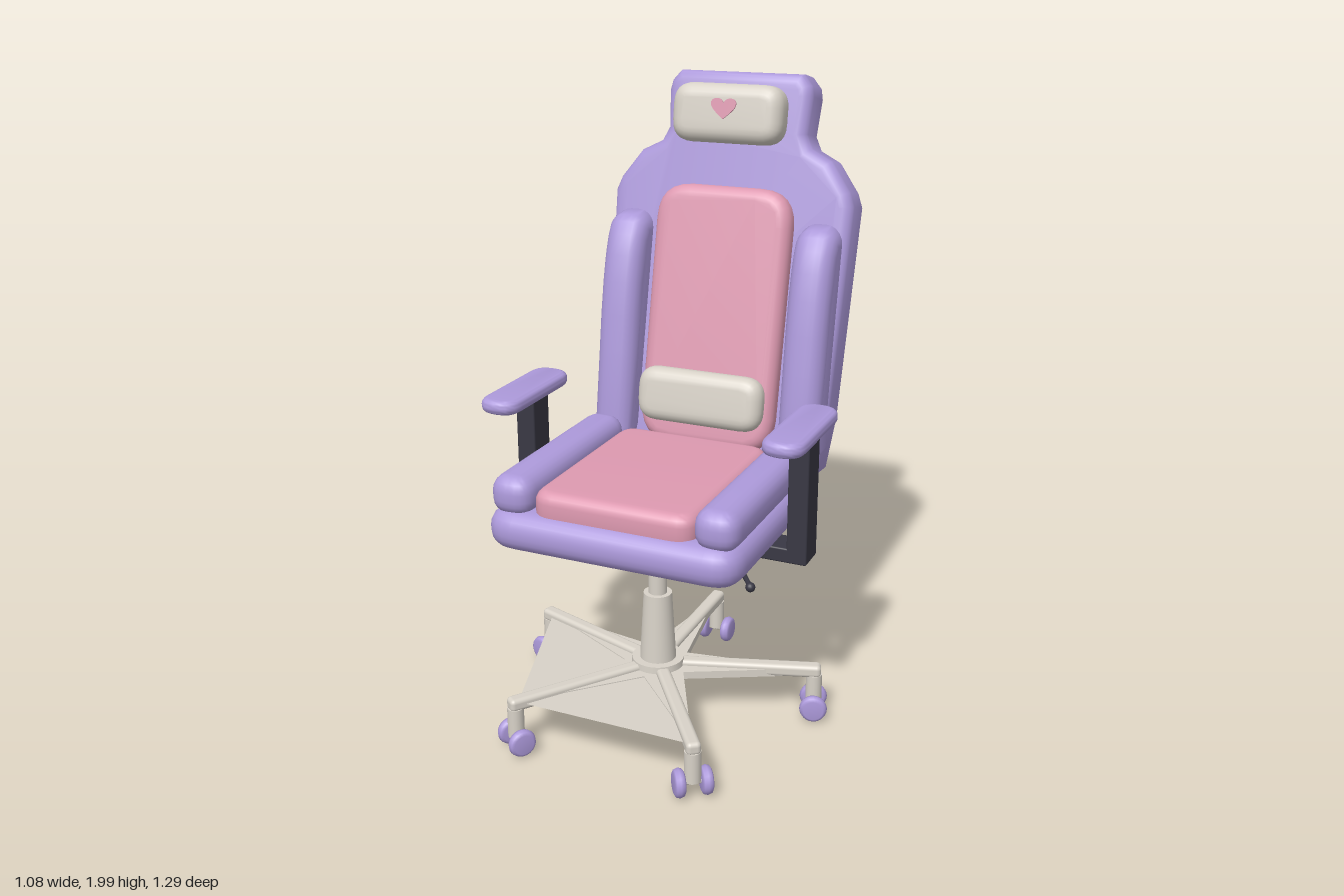
import * as THREE from 'three';
import { toCreasedNormals } from 'three/addons/utils/BufferGeometryUtils.js';
import { RoundedBoxGeometry } from 'three/addons/geometries/RoundedBoxGeometry.js';

function material(name, color) {
  const m = new THREE.MeshStandardMaterial({ color });
  m.name = name;
  return m;
}

export function createModel() {
  const purple = material('purple upholstery', 0xad9adb);
  const pink = material('pink upholstery', 0xde9ab1);
  const cream = material('cream', 0xd8d2c8);
  cream.side = THREE.DoubleSide; // the web between the legs is an open sheet
  const dark = material('dark frame', 0x393844);
  const chair = new THREE.Group();
  chair.name = 'chair';

  function add(parent, name, geometry, mat, x = 0, y = 0, z = 0) {
    const mesh = new THREE.Mesh(geometry, mat);
    mesh.name = name;
    mesh.position.set(x, y, z);
    parent.add(mesh);
    return mesh;
  }
  function group(parent, name, x, y, z) {
    const g = new THREE.Group();
    g.name = name;
    g.position.set(x, y, z);
    parent.add(g);
    return g;
  }
  const box = (w, h, d, r) => new RoundedBoxGeometry(w, h, d, 4, r);

  // Soft padded slab: outline with rounded edges, front face at z = 0
  function padded(shape, thickness, bevel) {
    const g = new THREE.ExtrudeGeometry(shape, {
      depth: thickness - 2 * bevel, bevelThickness: bevel, bevelSize: bevel,
      bevelOffset: -bevel, bevelSegments: 5, curveSegments: 6,
    });
    g.translate(0, 0, bevel - thickness);
    return toCreasedNormals(g, 0.7);
  }
  function roundedRect(w, h, r) {
    const s = new THREE.Shape(), x = w / 2, y = h / 2;
    s.moveTo(-x + r, -y);
    s.lineTo(x - r, -y).quadraticCurveTo(x, -y, x, -y + r);
    s.lineTo(x, y - r).quadraticCurveTo(x, y, x - r, y);
    s.lineTo(-x + r, y).quadraticCurveTo(-x, y, -x, y - r);
    s.lineTo(-x, -y + r).quadraticCurveTo(-x, -y, -x + r, -y);
    return s;
  }

  // Star base with five legs and twin-wheel casters
  const hubZ = 0.17;
  const base = group(chair, 'base', 0, 0, hubZ);
  add(base, 'hub', new THREE.CylinderGeometry(0.085, 0.09, 0.07, 32), cream, 0, 0.155, 0);
  add(base, 'columnSleeve', new THREE.CylinderGeometry(0.046, 0.06, 0.25, 32), cream, 0, 0.295, 0);
  add(base, 'gasPiston', new THREE.CylinderGeometry(0.03, 0.03, 0.19, 24), cream, 0, 0.5, 0);
  const wheelProfile = [[0, -0.017], [0.032, -0.017], [0.041, -0.012], [0.045, 0],
    [0.041, 0.012], [0.032, 0.017], [0, 0.017]].map(([r, y]) => new THREE.Vector2(r, y));
  const wheelGeometry = new THREE.LatheGeometry(wheelProfile, 24).rotateZ(Math.PI / 2);
  const legAngle = (k) => Math.PI + (k * Math.PI * 2) / 5;
  for (let k = 0; k < 5; k++) {
    const leg = group(base, 'leg', 0, 0, 0);
    leg.rotation.y = legAngle(k);
    add(leg, 'legBar', box(0.046, 0.042, 0.53, 0.014), cream, 0, 0.164, 0.267);
    add(leg, 'casterStem', new THREE.CylinderGeometry(0.026, 0.026, 0.1, 16), cream, 0, 0.1, 0.51);
    add(leg, 'casterAxle', new THREE.CylinderGeometry(0.01, 0.01, 0.08, 10).rotateZ(Math.PI / 2), cream, 0, 0.046, 0.51);
    for (const s of [-1, 1]) add(leg, 'casterWheel', wheelGeometry, purple, s * 0.042, 0.045, 0.51);
  }

  // Star plate that widens the legs towards the hub
  const star = new THREE.Shape();
  for (let i = 0; i < 10; i++) {
    const a = legAngle(i / 2), r = i % 2 ? 0.11 : 0.5;
    star[i ? 'lineTo' : 'moveTo'](r * Math.sin(a), -r * Math.cos(a));
  }
  const starGeometry = new THREE.ExtrudeGeometry(star, { depth: 0.025, bevelEnabled: false });
  add(base, 'starPlate', starGeometry.rotateX(-Math.PI / 2), cream, 0, 0.143, 0);

  // Flat web joining three neighbouring legs
  const web = new THREE.Shape([new THREE.Vector2(0, 0), ...[1, 2, 3].map((k) => new THREE.Vector2(
    0.5 * Math.sin(legAngle(k)), -0.5 * Math.cos(legAngle(k))))]);
  add(base, 'legWeb', new THREE.ShapeGeometry(web).rotateX(-Math.PI / 2), cream, 0, 0.165, 0);

  // Seat mechanism and height lever
  add(chair, 'mechanism', box(0.43, 0.065, 0.38, 0.015), dark, 0, 0.618, 0.13);
  const leverPath = new THREE.CatmullRomCurve3([
    new THREE.Vector3(0.18, 0.615, 0.2), new THREE.Vector3(0.3, 0.607, 0.25), new THREE.Vector3(0.385, 0.595, 0.35)]);
  add(chair, 'lever', new THREE.TubeGeometry(leverPath, 12, 0.008, 8), dark);
  add(chair, 'leverKnob', new THREE.SphereGeometry(0.015, 16, 12), dark, 0.385, 0.595, 0.352);

  // Seat
  const seatBase = padded(roundedRect(0.825, 0.77, 0.1), 0.125, 0.055).rotateX(-Math.PI / 2);
  add(chair, 'seatBase', seatBase, purple, 0, 0.78, 0.17);
  const cushion = padded(roundedRect(0.53, 0.66, 0.07), 0.11, 0.035).rotateX(-Math.PI / 2);
  add(chair, 'seatCushion', cushion, pink, 0, 0.853, 0.185);
  const bolster = padded(roundedRect(0.14, 0.69, 0.065), 0.125, 0.05).rotateX(-Math.PI / 2);

  // Side profile of the back bolsters, measured backwards and upwards
  const wing = new THREE.Shape();
  wing.moveTo(0.19, 0.765);
  wing.quadraticCurveTo(0.155, 0.77, 0.158, 0.83);
  wing.lineTo(0.195, 1.08);
  wing.quadraticCurveTo(0.25, 1.51, 0.33, 1.53);
  wing.lineTo(0.39, 1.54).lineTo(0.46, 1.5).lineTo(0.33, 0.78);
  const wingGeometry = padded(wing, 0.14, 0.055).translate(0, 0, 0.07).rotateY(Math.PI / 2);

  // Mirrored bolsters and armrests
  const armPad = padded(roundedRect(0.132, 0.4, 0.064), 0.046, 0.02).rotateX(-Math.PI / 2);
  for (const s of [-1, 1]) {
    add(chair, 'seatBolster', bolster, purple, s * 0.332, 0.886, 0.185);
    add(chair, 'backBolster', wingGeometry, purple, s * 0.332, 0, 0);
    const arm = group(chair, 'armrest', s * 0.465, 0, 0);
    add(arm, 'armPost', box(0.065, 0.42, 0.1, 0.006), dark, 0, 0.815, 0.125);
    add(arm, 'armBracket', box(0.25, 0.048, 0.1, 0.006), dark, -s * 0.095, 0.629, 0.125);
    add(arm, 'armPad', armPad, purple, 0, 1.061, 0.165);
  }

  // Reclined backrest; everything inside is measured from its lower front edge
  const back = group(chair, 'backrest', 0, 0.72, -0.22);
  back.rotation.x = -0.206;
  const half = [[0.33, -0.025], [0.385, 0.03], [0.405, 0.2], [0.422, 0.9], [0.405, 0.945], [0.335, 1.04],
    [0.265, 1.075], [0.243, 1.12], [0.252, 1.24], [0.245, 1.275], [0.215, 1.31]];
  const outline = [...half, ...half.map(([x, y]) => [-x, y]).reverse()];
  const backShape = new THREE.Shape(outline.map(([x, y]) => new THREE.Vector2(x, y)));
  add(back, 'backShell', padded(backShape, 0.163, 0.04), purple);
  add(back, 'backPanel', padded(roundedRect(0.475, 0.87, 0.12), 0.1, 0.04), pink, 0, 0.5, 0.06);

  // Pillows
  const lumbar = add(back, 'lumbarPillow', padded(roundedRect(0.44, 0.182, 0.07), 0.09, 0.042), cream, 0, 0.233, 0.138);
  lumbar.rotation.x = 0.06;
  const head = group(back, 'headrest', 0, 1.163, 0.108);
  head.rotation.x = 0.06;
  add(head, 'headPillow', padded(roundedRect(0.38, 0.19, 0.07), 0.12, 0.045), cream);

  // Heart painted on the head pillow
  const heart = new THREE.Shape();
  heart.moveTo(0, -0.033);
  heart.bezierCurveTo(-0.02, -0.017, -0.043, 0, -0.043, 0.016);
  heart.bezierCurveTo(-0.043, 0.036, -0.008, 0.04, 0, 0.016);
  heart.bezierCurveTo(0.008, 0.04, 0.043, 0.036, 0.043, 0.016);
  heart.bezierCurveTo(0.043, 0, 0.02, -0.017, 0, -0.033);
  add(head, 'heart', new THREE.ExtrudeGeometry(heart, { depth: 0.006, bevelEnabled: false }), pink, 0, 0.014, -0.001);

  return chair;
}
